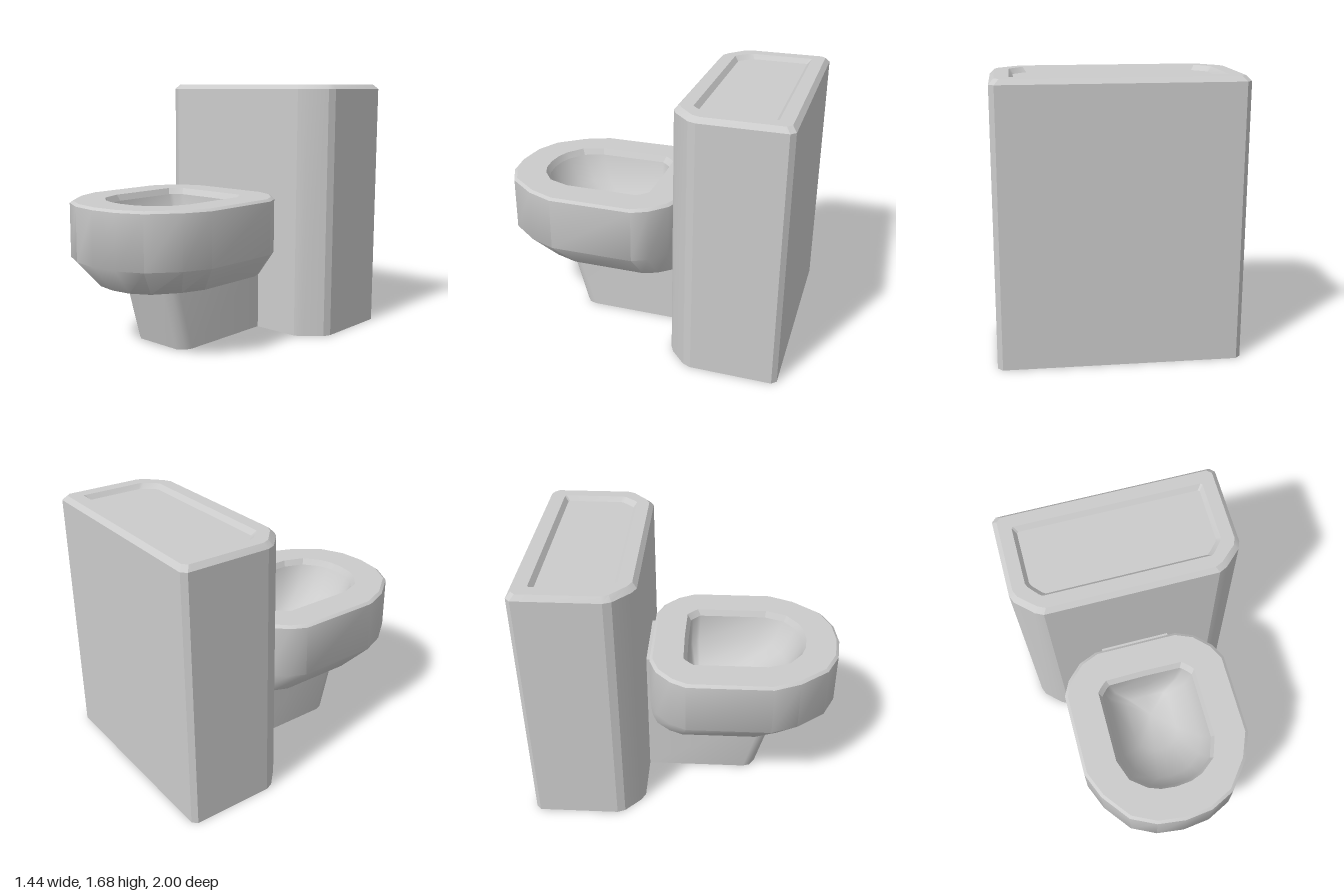
import * as THREE from 'three';
import { toCreasedNormals } from 'three/addons/utils/BufferGeometryUtils.js';

const material = new THREE.MeshStandardMaterial({ color: 0xcccccc, side: THREE.DoubleSide });

// Full closed outline from its +x half, listed from back centre to front centre.
const mirror = (half) => [...half, ...half.slice(1, -1).reverse().map(([x, z]) => [-x, z])];

// Horizontal ring: outline at height y, scaled in x and in z about zc.
const ring = (outline, y, sx = 1, sz = 1, zc = 0) =>
  outline.map(([x, z]) => [x * sx, y, zc + (z - zc) * sz]);

// Ring collapsed to one point, used to close a surface.
const point = (outline, y, z) => outline.map(() => [0, y, z]);

// Skin a stack of rings.
function loft(name, rings, crease) {
  const pos = [];
  const same = (a, b) => a.every((v, i) => v === b[i]);
  const tri = (a, b, c) => {
    if (!same(a, b) && !same(b, c) && !same(a, c)) pos.push(...a, ...b, ...c);
  };
  for (let k = 0; k + 1 < rings.length; k++) {
    const lo = rings[k], hi = rings[k + 1];
    lo.forEach((_, i) => {
      const j = (i + 1) % lo.length;
      tri(lo[i], hi[i], lo[j]);
      tri(hi[i], hi[j], lo[j]);
    });
  }
  const geometry = new THREE.BufferGeometry();
  geometry.setAttribute('position', new THREE.Float32BufferAttribute(pos, 3));
  const mesh = new THREE.Mesh(toCreasedNormals(geometry, crease), material);
  mesh.name = name;
  return mesh;
}

export function createModel() {
  const group = new THREE.Group();
  group.name = 'toilet';

  // Cistern: open-bottomed box, chamfered front corners, bevelled top with a sunken panel
  const tank = mirror([[0, -1], [0.69, -1], [0.72, -0.97], [0.72, -0.45],
    [0.7, -0.4], [0.595, -0.3], [0.545, -0.275], [0, -0.275]]);
  const panel = mirror([[0, -0.89], [0.6, -0.89], [0.61, -0.88], [0.61, -0.49],
    [0.6, -0.465], [0.545, -0.4], [0.525, -0.385], [0, -0.385]]);
  group.add(loft('cistern', [
    ring(tank, 0),
    ring(tank, 1.65),
    ring(tank, 1.68, 0.96, 0.925, -0.64),
    ring(panel, 1.68),
    ring(panel, 1.65, 0.96, 0.9, -0.637),
    point(panel, 1.65, -0.637),
  ], 0.3));

  const outer = mirror([[0, -0.25], [0.28, -0.25], [0.4, -0.2], [0.5, -0.1], [0.55, 0],
    [0.55, 0.55], [0.48, 0.72], [0.34, 0.9], [0.18, 0.978], [0, 1]]);
  const hole = mirror([[0, -0.035], [0.26, -0.03], [0.28, -0.015], [0.31, 0.015], [0.33, 0.04],
    [0.33, 0.52], [0.28, 0.66], [0.18, 0.74], [0.1, 0.77], [0, 0.78]]);

  // Bowl: outside shell, tapering in below while the back stays upright
  group.add(loft('bowl', [
    point(outer, 0.43, 0.3),
    ring(outer, 0.43, 0.73, 0.88, -0.25),
    ring(outer, 0.6),
    ring(outer, 0.945),
  ], 0.8));

  // Rim: bevelled outside and inside edges around a flat top
  group.add(loft('rim', [
    ring(outer, 0.945),
    ring(outer, 0.96, 0.965, 0.97, 0.375),
    ring(hole, 0.96),
    ring(hole, 0.92, 0.94, 0.94, 0.37),
  ], 0.3));

  // Basin: smooth hollow, steep at the back and sloping at the front
  group.add(loft('basin', [
    ring(hole, 0.92, 0.94, 0.94, 0.37),
    ring(hole, 0.74, 0.8, 0.82, 0.1),
    ring(hole, 0.6, 0.45, 0.5, 0.08),
    point(hole, 0.55, 0.15),
  ], 1.2));

  // Pedestal: front leans outwards towards the bowl, open underneath
  const foot = (front) => mirror([[0, -0.28], [0.23, -0.28], [0.23, front - 0.08],
    [0.215, front - 0.035], [0.165, front], [0, front]]);
  group.add(loft('pedestal', [ring(foot(0.47), 0), ring(foot(0.594), 0.44)], 0.8));

  // Block joining bowl and cistern
  const joint = new THREE.Mesh(new THREE.BoxGeometry(0.46, 0.49, 0.06), material);
  joint.name = 'joint';
  joint.position.set(0, 0.675, -0.25);
  group.add(joint);

  return group;
}
